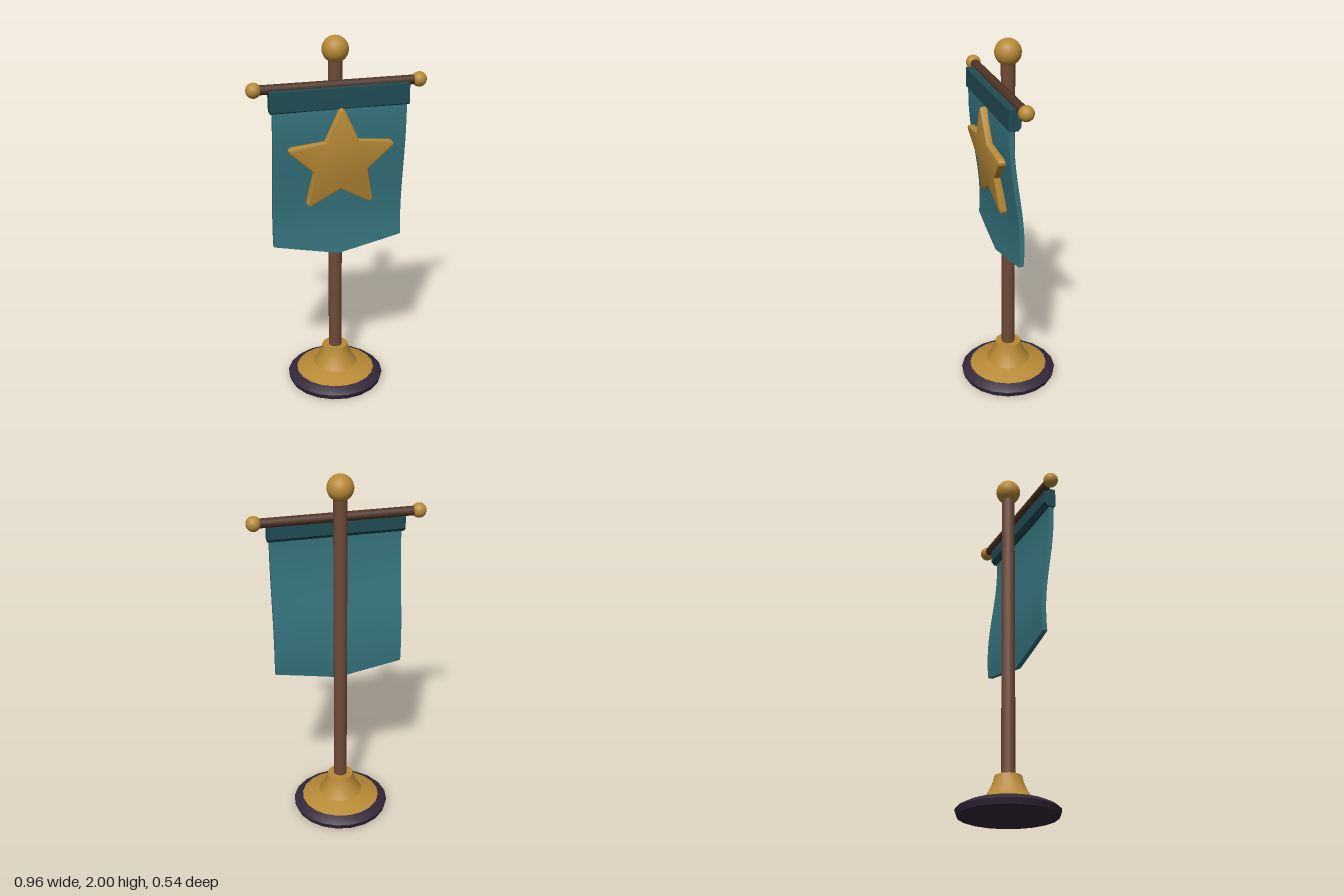
import * as THREE from 'three';
import { toCreasedNormals } from 'three/addons/utils/BufferGeometryUtils.js';

const material = (name, color) => {
  const m = new THREE.MeshStandardMaterial({ color });
  m.name = name;
  return m;
};

// Depth of the hanging cloth at a given place
const wave = (x, y) =>
  0.076 + 0.028 * Math.cos((Math.PI * 2 * (y - 1.6)) / 1.2) - 0.006 * (x / 0.35) ** 2;

// Moves every vertex by a rule
function reshape(geometry, rule) {
  const p = geometry.attributes.position;
  for (let i = 0; i < p.count; i++) p.setXYZ(i, ...rule(p.getX(i), p.getY(i), p.getZ(i)));
  geometry.computeVertexNormals();
  return geometry;
}

const lathe = (points) =>
  toCreasedNormals(
    new THREE.LatheGeometry(points.map(([x, y]) => new THREE.Vector2(x, y)), 20), 0.45);

// Five-pointed star outline with blunted tips
function starShape(outer, inner) {
  const corners = [];
  for (let i = 0; i < 10; i++) {
    const a = Math.PI / 2 + (i * Math.PI) / 5;
    const r = i % 2 ? inner : outer;
    corners.push(new THREE.Vector2(Math.cos(a) * r, Math.sin(a) * r));
  }
  const shape = new THREE.Shape();
  for (let i = 0; i < 10; i += 2) {
    const tip = corners[i];
    const before = corners[(i + 9) % 10];
    const after = corners[i + 1];
    const start = tip.clone().lerp(before, 0.13);
    const end = tip.clone().lerp(after, 0.13);
    if (i === 0) shape.moveTo(start.x, start.y);
    else shape.lineTo(start.x, start.y);
    shape.quadraticCurveTo(tip.x, tip.y, end.x, end.y);
    shape.lineTo(after.x, after.y);
  }
  return shape;
}

export function createModel() {
  const group = new THREE.Group();
  const gold = material('gold', 0xb88a36);
  const wood = material('pole wood', 0x6e4a38);
  const darkWood = material('dark wood', 0x4f3426);
  const teal = material('teal cloth', 0x36747e);
  const darkTeal = material('dark teal cloth', 0x1f4c54);
  const plum = material('dark plum', 0x34283a);

  const add = (name, geometry, mat, x = 0, y = 0, z = 0) => {
    const mesh = new THREE.Mesh(geometry, mat);
    mesh.name = name;
    mesh.position.set(x, y, z);
    group.add(mesh);
    return mesh;
  };

  // Stand
  add('baseRim', lathe([[0, 0], [0.262, 0], [0.272, 0.03], [0.258, 0.043], [0.222, 0.06]]), plum);
  add('baseCollar', lathe([[0.222, 0.06], [0.125, 0.095], [0.1, 0.13], [0.08, 0.175],
    [0.072, 0.21], [0, 0.21]]), gold);
  add('pole', new THREE.CylinderGeometry(0.037, 0.037, 1.72, 16), wood, 0, 1.05, 0);
  add('finial', new THREE.SphereGeometry(0.07, 24, 16), gold, 0, 1.93, 0);

  // Crossbar and its end knobs
  add('crossbar', new THREE.CylinderGeometry(0.025, 0.025, 0.85, 10), darkWood, 0, 1.758, 0.055)
    .rotation.z = Math.PI / 2;
  for (const side of [-1, 1]) {
    add('crossbarKnob', new THREE.SphereGeometry(0.04, 20, 14), gold, side * 0.438, 1.758, 0.055);
  }

  // Waving cloth with a shallow pointed hem
  const cloth = reshape(new THREE.BoxGeometry(0.71, 1, 0.026, 12, 24, 1), (x, y, z) => {
    const hem = 0.82 + 0.07 * Math.abs(x / 0.355);
    const newY = hem + (y + 0.5) * (1.74 - hem);
    return [x, newY, z + wave(x, newY)];
  });
  add('bannerCloth', cloth, teal);

  // Folded sleeve along the top of the cloth
  const sleeve = new THREE.Shape(
    [[0.053, 1.755], [0.053, 1.665], [0.07, 1.645], [0.113, 1.645], [0.12, 1.652], [0.118, 1.755]]
      .map(([z, y]) => new THREE.Vector2(-z, y)));
  add('bannerSleeve', new THREE.ExtrudeGeometry(sleeve, { depth: 0.734, bevelEnabled: false }),
    darkTeal, -0.367, 0, 0).rotation.y = Math.PI / 2;

  // Padded star following the cloth
  const star = new THREE.ExtrudeGeometry(starShape(0.295, 0.14), {
    depth: 0.032, bevelThickness: 0.009, bevelSize: 0.01, bevelSegments: 2, curveSegments: 4 });
  reshape(star, (x, y, z) => [x, y + 1.36, z + 0.009 + wave(x, y + 1.36)]);
  add('star', toCreasedNormals(star, 0.5), gold);

  return group;
}
